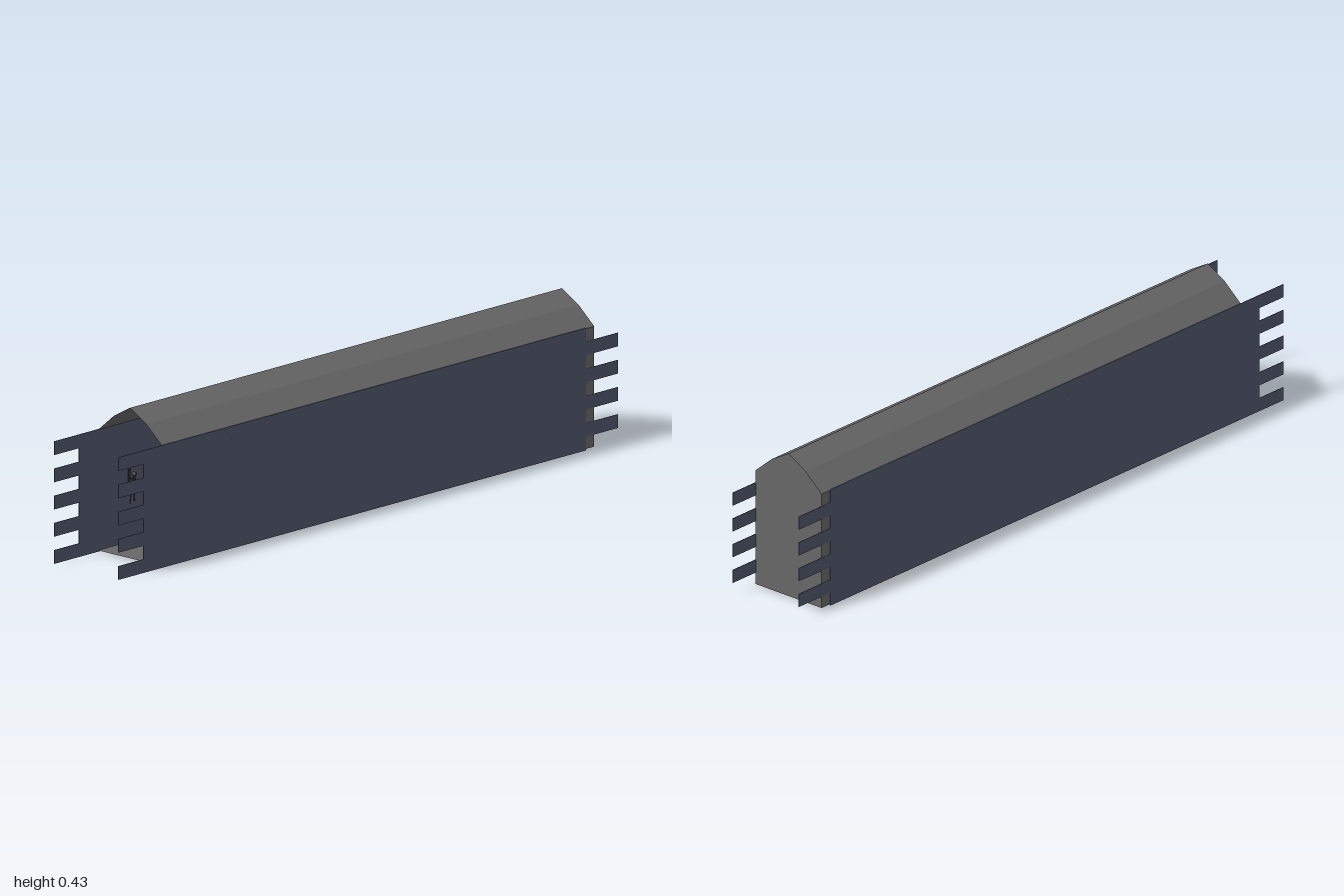
import * as THREE from 'three';

const HALF = 0.122, FRONT = 0.825, BACK = -0.905;

const stone = new THREE.MeshStandardMaterial({ color: 0x666666, side: THREE.DoubleSide, flatShading: true });
const plankMat = new THREE.MeshStandardMaterial({ color: 0x50566a });
const iron = new THREE.MeshStandardMaterial({ color: 0x303030 });

function add(parent, name, geometry, material, x = 0, y = 0, z = 0) {
  const mesh = new THREE.Mesh(geometry, material);
  mesh.name = name;
  mesh.position.set(x, y, z);
  parent.add(mesh);
  return mesh;
}

// Open strip swept along z from a run of outline points
function sweep(points) {
  const pos = [];
  for (let i = 0; i < points.length - 1; i++) {
    const [ax, ay] = points[i], [bx, by] = points[i + 1];
    pos.push(ax, ay, FRONT, ax, ay, BACK, bx, by, BACK);
    pos.push(ax, ay, FRONT, bx, by, BACK, bx, by, FRONT);
  }
  const g = new THREE.BufferGeometry();
  g.setAttribute('position', new THREE.Float32BufferAttribute(pos, 3));
  g.computeVertexNormals();
  return g;
}

// Wall torch, built for the +x wall
function makeTorch() {
  const torch = new THREE.Group();
  torch.name = 'torch';
  const x = 0.102;
  add(torch, 'torchHandle', new THREE.CylinderGeometry(0.003, 0.0025, 0.075, 8), iron, x, 0.1625, 0);
  add(torch, 'torchFoot', new THREE.SphereGeometry(0.0035, 8, 6), iron, x, 0.127, 0);
  const cup = [[0.0025, 0.192], [0.005, 0.196], [0.008, 0.2], [0.0065, 0.204], [0.003, 0.206], [0, 0.211]];
  add(torch, 'torchCup', new THREE.LatheGeometry(cup.map(p => new THREE.Vector2(...p)), 10), iron, x, 0, 0);
  // bracket arm and ring
  const arm = add(torch, 'bracketArm', new THREE.CylinderGeometry(0.0012, 0.0012, HALF - x, 6), iron, (HALF + x) / 2, 0.186, 0);
  arm.rotation.z = Math.PI / 2;
  const ring = add(torch, 'bracketRing', new THREE.TorusGeometry(0.0038, 0.001, 6, 12), iron, x, 0.186, 0);
  ring.rotation.x = Math.PI / 2;
  // wall plate with studs and a curled tail
  add(torch, 'wallPlate', new THREE.BoxGeometry(0.002, 0.06, 0.01), iron, 0.1205, 0.19, 0);
  for (const y of [0.168, 0.212])
    add(torch, 'plateStud', new THREE.SphereGeometry(0.003, 8, 6), iron, 0.1195, y, 0);
  const tail = new THREE.CatmullRomCurve3([[0.121, 0.165], [0.116, 0.15], [0.115, 0.135], [0.118, 0.113]]
    .map(([px, py]) => new THREE.Vector3(px, py, 0)));
  add(torch, 'bracketTail', new THREE.TubeGeometry(tail, 10, 0.001, 5), iron);
  return torch;
}

export function createModel() {
  const model = new THREE.Group();
  model.name = 'corridor';

  // Stone shell
  const roof = [[HALF, 0.347], [0.062, 0.398], [0, 0.433], [-0.062, 0.398], [-HALF, 0.347]];
  add(model, 'roof', sweep(roof), stone);
  add(model, 'floor', sweep([[-HALF, 0.004], [HALF, 0.004]]), stone);
  const end = new THREE.Shape([[-HALF, 0.004], [HALF, 0.004], ...roof].map(p => new THREE.Vector2(...p)));
  add(model, 'backWall', new THREE.ShapeGeometry(end), stone, 0, 0, BACK);

  for (const side of [1, -1]) {
    add(model, 'sideWall', sweep([[side * HALF, 0.004], [side * HALF, 0.347]]), stone);

    // Nine rows of boards, alternately shifted to the front and the back
    const row = 0.349 / 9;
    for (let i = 0; i < 9; i++) {
      const [z0, z1] = i % 2 ? [-1, 0.9] : [-0.87, 1];
      add(model, 'wallBoard', new THREE.BoxGeometry(0.002, row, z1 - z0), plankMat,
        side * HALF, (i + 0.5) * row, (z0 + z1) / 2);
    }

    // Torches along the wall, turned round for the opposite side
    for (let i = 0; i < 6; i++) {
      const torch = makeTorch();
      torch.position.z = 0.7 - i * 0.3;
      if (side < 0) torch.rotation.y = Math.PI;
      model.add(torch);
    }
  }
  return model;
}
